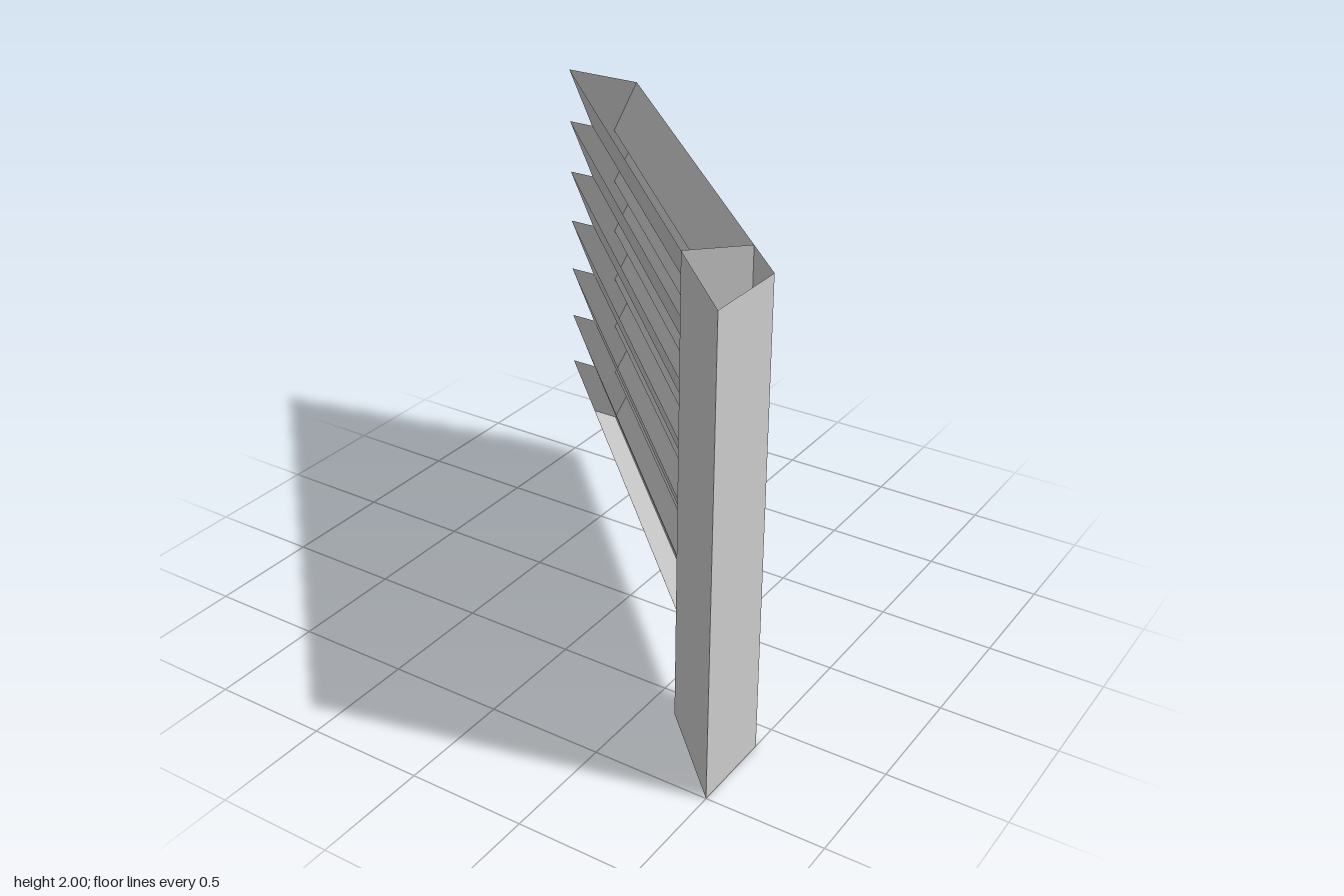
import * as THREE from 'three';

const material = new THREE.MeshStandardMaterial({ color: 0xcccccc, side: THREE.DoubleSide, flatShading: true });

// Flat panel from four corners, counter-clockwise seen from outside
function panel(name, a, b, c, d) {
  const geometry = new THREE.BufferGeometry();
  geometry.setAttribute('position', new THREE.Float32BufferAttribute([a, b, c, a, c, d].flat(), 3));
  geometry.computeVertexNormals();
  const mesh = new THREE.Mesh(geometry, material);
  mesh.name = name;
  return mesh;
}

const SLATS = 7, SLAT_HEIGHT = 0.25, BASE = 0.25, HEIGHT = 2;

// The wall runs diagonally; u is the offset across it (x - z).
// Its free end is cut along z = -1, its other end square against the post.
const freeEnd = (u, y) => [u - 1, y, -1];
const postEnd = (u, y) => [(1.25 + u) / 2, y, (1.25 - u) / 2];

function createSlat(index) {
  const slat = new THREE.Group();
  slat.name = `slat${index + 1}`;
  const low = BASE + index * SLAT_HEIGHT;
  const high = low + SLAT_HEIGHT;

  // Both sides lean outward towards the top; the slat is open above
  slat.add(
    panel('frontBoard', freeEnd(0.125, low), postEnd(0.125, low), postEnd(0, high), freeEnd(0, high)),
    panel('backBoard', postEnd(0.25, low), freeEnd(0.25, low), freeEnd(0.375, high), postEnd(0.375, high)),
    panel('endCap', freeEnd(0.25, low), freeEnd(0.125, low), freeEnd(0, high), freeEnd(0.375, high))
  );
  return slat;
}

function createPost() {
  const post = new THREE.Group();
  post.name = 'cornerPost';
  const corners = [[0.625, 0.625], [0.8125, 0.4375], [1, 0.625], [1, 1]];
  const at = (i, y) => [corners[i % 4][0], y, corners[i % 4][1]];

  // Four walls and a bottom, open at the top
  for (let i = 0; i < 4; i++) {
    post.add(panel('postWall', at(i + 1, 0), at(i, 0), at(i, HEIGHT), at(i + 1, HEIGHT)));
  }
  post.add(panel('postBottom', at(0, 0), at(1, 0), at(2, 0), at(3, 0)));
  return post;
}

export function createModel() {
  const model = new THREE.Group();
  model.name = 'clapboardWall';
  for (let i = 0; i < SLATS; i++) model.add(createSlat(i));

  // Underside of the lowest slat
  model.add(panel('wallBottom',
    freeEnd(0.125, BASE), freeEnd(0.25, BASE), postEnd(0.25, BASE), postEnd(0.125, BASE)));
  model.add(createPost());
  return model;
}
